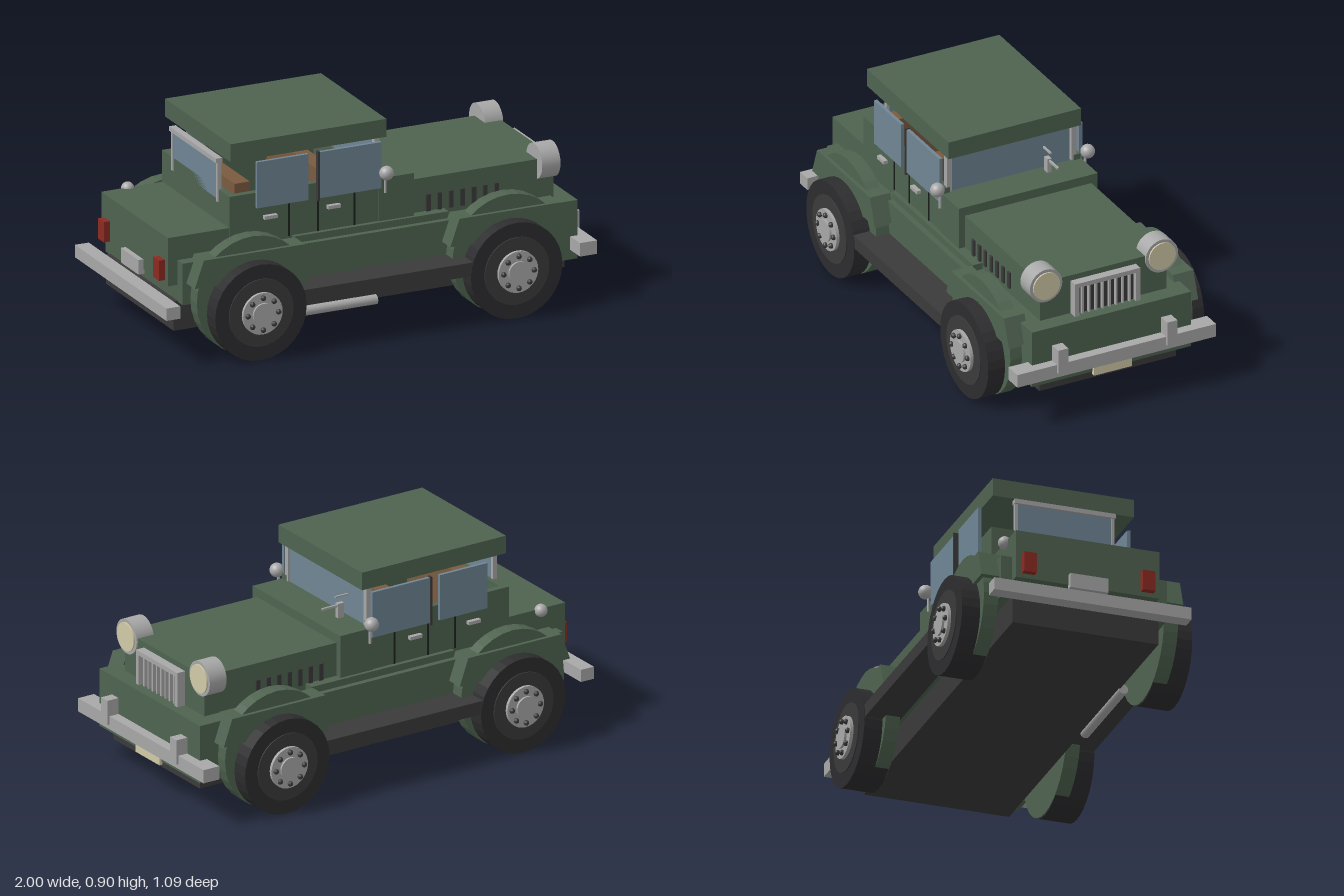
import * as THREE from 'three';

const mat = (color) => new THREE.MeshStandardMaterial({ color });
const flat = (color) => new THREE.MeshStandardMaterial({ color, flatShading: true });

export function createModel() {
  const car = new THREE.Group();
  const green = flat(0x4f6350), dark = flat(0x3a3a3a), tyreMat = flat(0x2d2d2f);
  const grey = mat(0xa8a8a8), glass = mat(0x6f8594), red = mat(0x8b2a22);
  const cream = mat(0xd2cba8), brown = mat(0x7a5a40), black = mat(0x1c201c);

  const add = (name, geo, m, x = 0, y = 0, z = 0, parent = car) => {
    const mesh = new THREE.Mesh(geo, m);
    mesh.name = name;
    mesh.position.set(x, y, z);
    parent.add(mesh);
    return mesh;
  };
  // Box given by its extents
  const box = (name, m, x0, x1, y0, y1, z0, z1) =>
    add(name, new THREE.BoxGeometry(x1 - x0, y1 - y0, z1 - z0), m,
      (x0 + x1) / 2, (y0 + y1) / 2, (z0 + z1) / 2);
  // Box and its mirror image on the other side
  const pair = (name, m, x0, x1, y0, y1, z0, z1) => {
    box(name, m, x0, x1, y0, y1, z0, z1);
    box(name, m, x0, x1, y0, y1, -z1, -z0);
  };
  const discZ = (r, depth, seg = 32) => new THREE.CylinderGeometry(r, r, depth, seg).rotateX(Math.PI / 2);
  const discX = (r, depth, seg = 32) => new THREE.CylinderGeometry(r, r, depth, seg).rotateZ(Math.PI / 2);

  // Chassis, running boards, exhaust
  box('chassis', dark, -0.91, 0.91, 0.12, 0.25, -0.325, 0.325);
  pair('runningBoard', dark, -0.42, 0.42, 0.22, 0.28, 0.36, 0.51);
  add('exhaust', discX(0.021, 0.47, 20), grey, -0.21, 0.12, 0.34);

  // Lower body, nose and boot
  box('lowerBody', green, -0.89, 0.9, 0.245, 0.43, -0.37, 0.37);
  box('nose', green, 0.84, 0.945, 0.17, 0.43, -0.378, 0.378);
  pair('sill', green, -0.36, 0.36, 0.42, 0.46, 0.3, 0.345);
  box('boot', green, -0.935, -0.64, 0.32, 0.535, -0.32, 0.32);

  // Open cabin tub
  pair('cabinSide', green, -0.65, 0.06, 0.42, 0.675, 0.295, 0.325);
  box('cabinBack', green, -0.65, -0.62, 0.42, 0.675, -0.3, 0.3);
  box('frontSeat', brown, -0.2, -0.13, 0.43, 0.7, -0.25, 0.25);
  box('rearSeat', brown, -0.59, -0.52, 0.43, 0.7, -0.25, 0.25);
  box('cowl', green, 0.04, 0.205, 0.42, 0.65, -0.33, 0.33);
  box('hood', green, 0.2, 0.87, 0.42, 0.61, -0.3, 0.3);
  box('roof', green, -0.64, 0.085, 0.825, 0.905, -0.315, 0.315);

  // Windscreen, rear window and their frames
  box('windscreen', glass, 0.04, 0.05, 0.65, 0.82, -0.28, 0.28);
  pair('windscreenPost', grey, 0.033, 0.057, 0.64, 0.825, 0.285, 0.308);
  box('windscreenRail', grey, 0.033, 0.057, 0.815, 0.83, -0.308, 0.308);
  box('rearWindow', glass, -0.65, -0.64, 0.63, 0.8, -0.21, 0.21);
  box('rearWindowRail', grey, -0.665, -0.635, 0.795, 0.815, -0.225, 0.225);
  pair('rearWindowPost', grey, -0.657, -0.637, 0.62, 0.8, 0.208, 0.222);

  // Side windows, door seams and handles
  for (const [x0, x1] of [[-0.53, -0.29], [-0.24, 0.05]])
    pair('sideWindow', glass, x0, x1, 0.61, 0.815, 0.325, 0.34);
  pair('doorPost', dark, -0.248, -0.24, 0.6, 0.82, 0.325, 0.346);
  for (const x of [-0.375, -0.24, -0.07])
    pair('doorSeam', black, x - 0.004, x + 0.004, 0.46, 0.605, 0.32, 0.328);
  for (const x of [-0.465, -0.17])
    pair('doorHandle', grey, x - 0.03, x + 0.03, 0.555, 0.57, 0.325, 0.345);

  // Hood vents
  for (let i = 0; i < 7; i++) {
    const x = 0.285 + i * 0.053;
    pair('hoodVent', dark, x - 0.01, x + 0.01, 0.46, 0.535, 0.295, 0.308);
  }

  // Grille with vertical bars
  box('grilleFrameTop', grey, 0.86, 0.91, 0.565, 0.585, -0.155, 0.155);
  pair('grilleFrameSide', grey, 0.86, 0.91, 0.43, 0.57, 0.135, 0.155);
  box('grilleBack', dark, 0.86, 0.885, 0.43, 0.57, -0.14, 0.14);
  for (let i = 0; i < 8; i++) {
    const z = -0.112 + i * 0.032;
    box('grilleBar', grey, 0.88, 0.9, 0.43, 0.565, z - 0.004, z + 0.004);
  }

  // Bumpers, plates and tail lamps
  box('frontBumper', grey, 0.91, 0.99, 0.213, 0.273, -0.472, 0.472);
  pair('overrider', grey, 0.94, 1, 0.235, 0.345, 0.235, 0.283);
  box('frontPlate', cream, 0.94, 0.957, 0.155, 0.2, -0.09, 0.09);
  box('rearBumper', grey, -1, -0.935, 0.215, 0.27, -0.44, 0.44);
  box('rearPlate', grey, -0.958, -0.93, 0.3, 0.365, -0.085, 0.085);
  pair('tailLamp', red, -0.963, -0.93, 0.34, 0.43, 0.237, 0.293);

  // Fuel cap and fittings on the cowl
  add('fuelCap', new THREE.SphereGeometry(0.028, 20, 14), grey, -0.81, 0.53, -0.325);
  box('cowlFitting', grey, 0.075, 0.105, 0.65, 0.715, -0.165, -0.145);
  box('cowlRod', grey, 0.08, 0.18, 0.7, 0.709, -0.16, -0.151);
  box('cowlRod', grey, 0.05, 0.115, 0.741, 0.749, -0.16, -0.152);

  // Flared fender block, wider at its base
  const flare = new THREE.Shape([[-0.278, 0.34], [0.278, 0.34], [0.235, 0.46], [-0.235, 0.46]]
    .map(([x, y]) => new THREE.Vector2(x, y)));
  const flareGeo = new THREE.ExtrudeGeometry(flare, { depth: 0.097, bevelEnabled: false })
    .translate(0, 0, -0.0485);

  for (const s of [1, -1]) {
    // Headlamps
    add('headlamp', discX(0.077, 0.085), grey, 0.835, 0.595, s * 0.275);
    add('headlampLens', discX(0.063, 0.012), cream, 0.878, 0.595, s * 0.275);

    // Mirrors
    add('mirror', new THREE.SphereGeometry(0.031, 24, 16), grey, 0.065, 0.68, s * 0.357);
    add('mirrorStem', new THREE.CylinderGeometry(0.006, 0.006, 0.09, 10), grey, 0.065, 0.635, s * 0.345);

    for (const x of [-0.595, 0.595]) {
      // Fenders
      add('fenderArch', discZ(0.26, 0.063), green, x, 0.267, s * 0.4015);
      add('fenderFlare', flareGeo, green, x, 0, s * 0.4015);

      // Wheel built facing +z, turned round for the far side
      const wheel = new THREE.Group();
      wheel.name = 'wheel';
      wheel.position.set(x, 0.213, 0);
      if (s < 0) wheel.rotation.y = Math.PI;
      car.add(wheel);
      add('tyre', discZ(0.213, 0.141), tyreMat, 0, 0, 0.4425, wheel);
      add('tyreWall', discZ(0.15, 0.01), dark, 0, 0, 0.513, wheel);
      add('hub', discZ(0.092, 0.03), grey, 0, 0, 0.517, wheel);
      add('hubCap', discZ(0.048, 0.015, 24), grey, 0, 0, 0.534, wheel);
      for (let i = 0; i < 8; i++) {
        const a = i * Math.PI / 4;
        add('wheelBolt', new THREE.SphereGeometry(0.012, 10, 8), dark,
          0.071 * Math.cos(a), 0.071 * Math.sin(a), 0.536, wheel);
      }
    }
  }
  return car;
}
